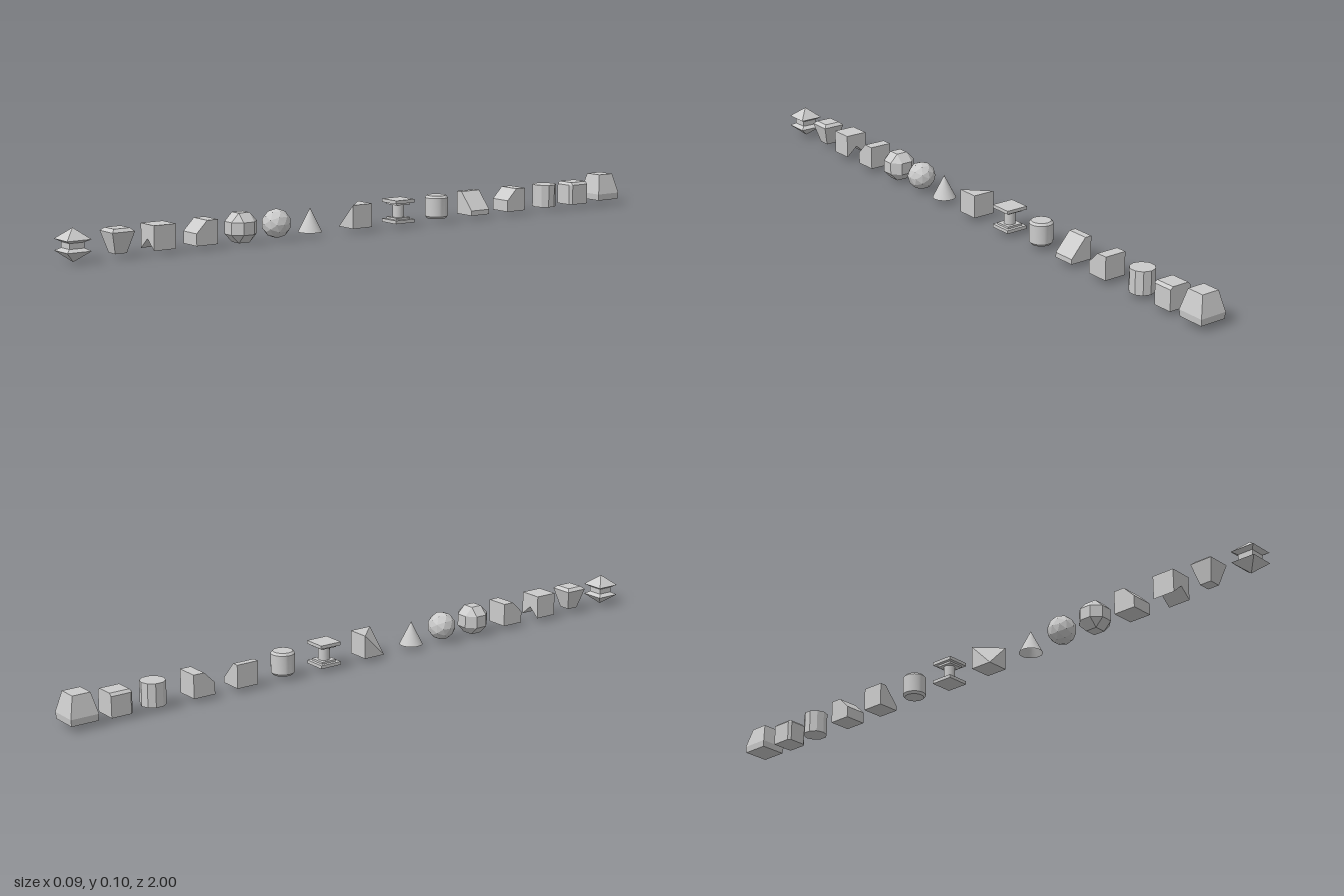
import * as THREE from 'three';
import { ConvexGeometry } from 'three/addons/geometries/ConvexGeometry.js';
import { toCreasedNormals } from 'three/addons/utils/BufferGeometryUtils.js';

const H = 0.035;   // half size of a standard block
const MID = 0.048; // height of the row's axis

// Square-section solid: profile of [halfWidth, y], bottom to top
function squareTurned(profile) {
  const pts = profile.map(([r, y]) => new THREE.Vector2(r * Math.SQRT2, y));
  return new THREE.LatheGeometry(pts, 4).rotateY(Math.PI / 4);
}

// Prism: outline extruded along z, centred
function prism(outline) {
  const shape = new THREE.Shape(outline.map(([x, y]) => new THREE.Vector2(x, y)));
  return new THREE.ExtrudeGeometry(shape, { depth: 2 * H, bevelEnabled: false }).translate(0, 0, -H);
}

// Prism across x: outline given as [z, y]
const crossPrism = (outline) => prism(outline.map(([z, y]) => [-z, y]).reverse()).rotateY(Math.PI / 2);

// Corner points of a box
function corners(x0, x1, y0, y1, z0, z1) {
  const out = [];
  for (const x of [x0, x1]) for (const y of [y0, y1]) for (const z of [z0, z1]) out.push(new THREE.Vector3(x, y, z));
  return out;
}

export function createModel() {
  const model = new THREE.Group();
  const flat = new THREE.MeshStandardMaterial({ color: 0xcccccc, flatShading: true });
  const smooth = new THREE.MeshStandardMaterial({ color: 0xcccccc });
  const open = new THREE.MeshStandardMaterial({ color: 0xcccccc, side: THREE.DoubleSide });

  function add(name, geometry, z, material = flat) {
    const mesh = new THREE.Mesh(geometry, material);
    mesh.name = name;
    mesh.position.set(0, MID, z);
    model.add(mesh);
  }

  // Two pyramids joined by a square waist
  add('waistedBipyramid', squareTurned([
    [0, -0.047], [0.037, -0.016], [0.023, -0.008], [0.023, 0.008], [0.037, 0.016], [0, 0.047],
  ]), 0.963);

  // Block tapering downwards, with a bevelled top
  add('invertedFrustum', squareTurned([[0, -H], [0.018, -H], [H, 0.026], [0.025, H], [0, H]]), 0.826);

  // Block with a V groove underneath
  add('groovedBlock', prism([[-H, -H], [0, -0.005], [H, -H], [H, H], [-H, H]]), 0.697);

  // Block with its upper front edge cut away
  add('chamferedBlock', crossPrism([[-H, -H], [H, -H], [H, 0], [0, H], [-H, H]]), 0.56);

  // Ball of squares and triangles
  const a = 0.043, b = 0.018;
  add('facetedBall', new ConvexGeometry([
    ...corners(-a, a, -b, b, -b, b), ...corners(-b, b, -a, a, -b, b), ...corners(-b, b, -b, b, -a, a),
  ]), 0.426);
  add('triangulatedBall', new THREE.IcosahedronGeometry(0.043, 1), 0.304);

  // Hollow cone
  add('cone', new THREE.ConeGeometry(H, 2 * H, 32, 1, true), 0.186, open);

  // Cube with the upper front right corner removed
  add('cutCornerCube', new ConvexGeometry(
    corners(-H, H, -H, H, -H, H).filter((p) => !(p.x < 0 && p.y > 0 && p.z > 0))), 0.022);

  // Spool: stepped square plates around a round column
  const spoolZ = -0.137;
  add('spoolColumn', new THREE.CylinderGeometry(0.017, 0.017, 0.05, 24),
    spoolZ, smooth);
  for (const s of [-1, 1]) {
    add('spoolPlate', new THREE.BoxGeometry(2 * H, 0.01, 2 * H).translate(0, s * 0.03, 0), spoolZ);
    add('spoolStep', new THREE.BoxGeometry(0.05, 0.006, 0.05).translate(0, s * 0.022, 0), spoolZ);
  }

  // Round drum with bevelled rims
  const drum = [[0, -H], [0.029, -H], [H, -0.028], [H, 0.028], [0.029, H], [0, H]];
  add('drum', toCreasedNormals(
    new THREE.LatheGeometry(drum.map(([r, y]) => new THREE.Vector2(r, y)), 32), 0.5), -0.283, smooth);

  // Wedge sloping towards the left side
  add('wedge', prism([[-H, -H], [H, -H], [H, -0.02], [-0.014, H], [-H, H]]), -0.428);

  // Gabled block
  add('gabledBlock', crossPrism([[-H, -H], [H, -H], [H, 0], [0, H], [-H, H]]), -0.573);

  // Many-sided column
  add('facetedColumn', new THREE.CylinderGeometry(0.037, 0.037, 2 * H, 10), -0.719);

  // Block bevelled around its top and front
  const c = 0.027;
  add('bevelledBlock', new ConvexGeometry([
    ...corners(-H, H, -H, c, -H, c), ...corners(-c, c, -H, H, -H, c), ...corners(-c, c, -H, c, -H, H),
  ]), -0.836);

  // Large tapered end block
  add('endBlock', squareTurned([[0, -0.03], [0.041, -0.03], [0.043, -0.01], [0.028, 0.051], [0, 0.051]]), -0.957);

  return model;
}
